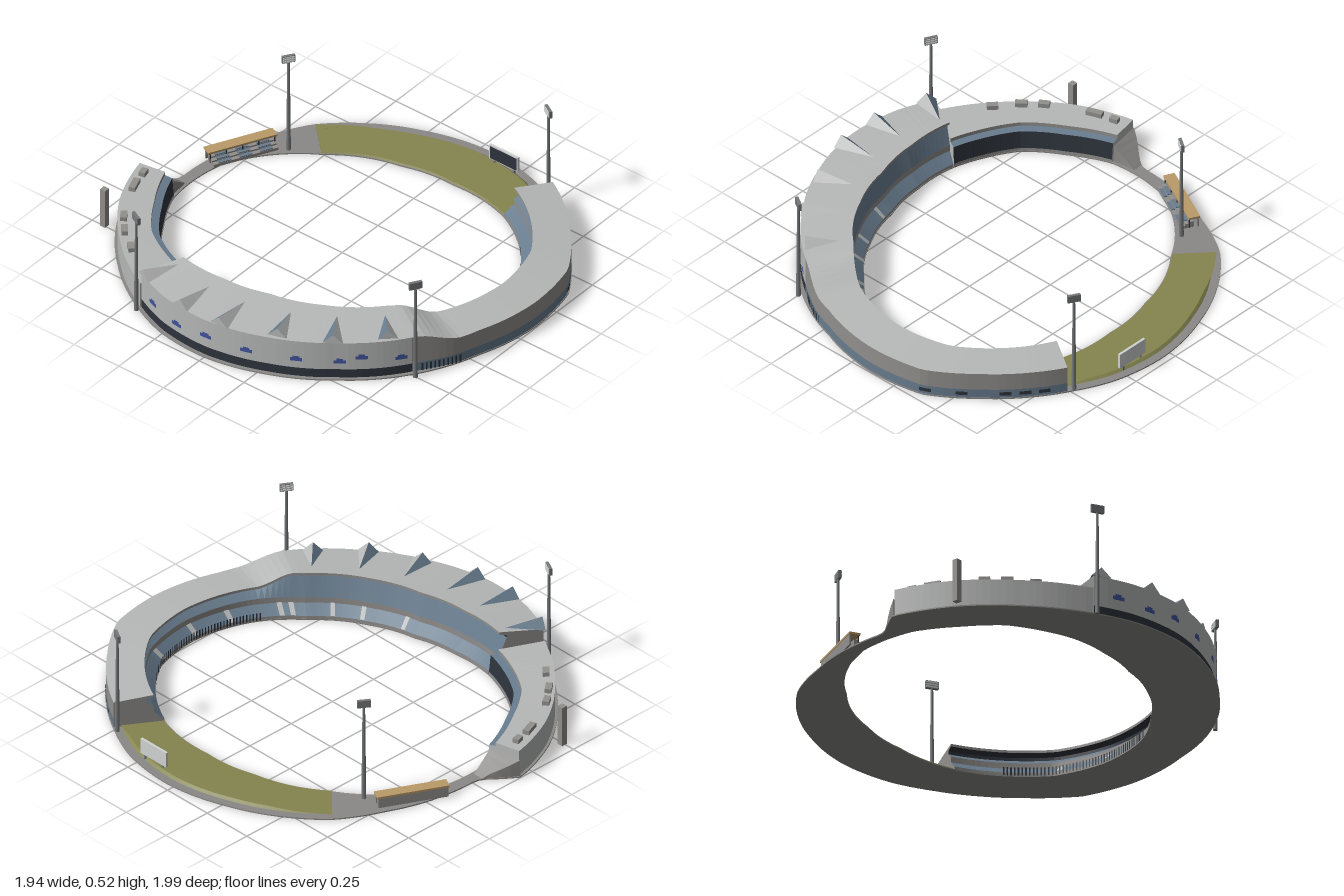
import * as THREE from 'three';

const mat = (name, color) => {
  const m = new THREE.MeshStandardMaterial({ color, side: THREE.DoubleSide });
  m.name = name;
  return m;
};
const M = {
  roof: mat('roof grey', 0xb6b8b7), wall: mat('wall grey', 0x92908d), base: mat('paving grey', 0x8b8987),
  seats: mat('slate blue', 0x687c8e), dark: mat('dark navy', 0x2e343d), grass: mat('grass', 0x858550),
  tan: mat('tan', 0xbb9b69), mural: mat('mural blue', 0x40539c), pole: mat('pole grey', 0x77797b),
  white: mat('pale panel', 0xd2d4d4),
};
const RAD = Math.PI / 180;

// Radius by angle (degrees, from +x towards +z) of a closed plan outline
function outline(pts) {
  const p = pts.map(([x, z]) => [(Math.atan2(z, x) / RAD + 360) % 360, Math.hypot(x, z)]).sort((a, b) => a[0] - b[0]);
  const n = p.length;
  p.unshift([p[n - 1][0] - 360, p[n - 1][1]]);
  p.push([p[1][0] + 360, p[1][1]]);
  return (deg) => {
    const a = ((deg % 360) + 360) % 360;
    let i = 1;
    while (i < p.length - 1 && p[i][0] < a) i++;
    const [a0, r0] = p[i - 1], [a1, r1] = p[i];
    return r0 + (r1 - r0) * (a - a0) / (a1 - a0);
  };
}
const outer = outline([[-0.18, -1], [-0.06, -0.905], [-0.02, -0.885], [0.14, -0.875], [0.43, -0.785], [0.64, -0.67],
  [0.8, -0.48], [0.905, -0.265], [0.97, 0.03], [0.93, 0.32], [0.85, 0.49], [0.745, 0.65], [0.59, 0.81], [0.385, 0.96],
  [0.11, 0.997], [-0.205, 0.93], [-0.5, 0.79], [-0.735, 0.56], [-0.895, 0.29], [-0.97, 0], [-0.947, -0.265],
  [-0.84, -0.505], [-0.68, -0.715], [-0.445, -0.905]]);
const inner = outline([[0, -0.83], [-0.15, -0.82], [-0.34, -0.725], [-0.5, -0.61], [-0.59, -0.45], [-0.635, -0.32],
  [-0.64, -0.105], [-0.6, 0.105], [-0.525, 0.32], [-0.365, 0.53], [-0.18, 0.685], [0.11, 0.76], [0.35, 0.715],
  [0.535, 0.555], [0.64, 0.39], [0.68, 0.08], [0.645, -0.185], [0.497, -0.505], [0.4, -0.635], [0.165, -0.805]]);

// Section point: d >= 0 is measured from the inner edge, d < 0 from the outer edge
const radius = (a, d) => (d >= 0 ? inner(a) + d : outer(a) + d);
const at = (a, r, y) => [r * Math.cos(a * RAD), y, r * Math.sin(a * RAD)];

function meshFrom(name, verts, material) {
  const g = new THREE.BufferGeometry();
  g.setAttribute('position', new THREE.Float32BufferAttribute(verts, 3));
  g.computeVertexNormals();
  const m = new THREE.Mesh(g, material);
  m.name = name;
  return m;
}

// Sweep section(a) = [[d, y], ...] round the oval; mats[i] colours the strip between points i and i + 1
function sweep(name, a0, a1, section, mats, capMat) {
  const group = new THREE.Group();
  group.name = name;
  const n = Math.max(1, Math.ceil((a1 - a0) / 2));
  const rows = [];
  for (let i = 0; i <= n; i++) {
    const a = a0 + (a1 - a0) * i / n;
    rows.push(section(a).map(([d, y]) => at(a, radius(a, d), y)));
  }
  mats.forEach(([part, material], j) => {
    const v = [];
    for (let i = 0; i < n; i++) {
      const A = rows[i][j], B = rows[i][j + 1], C = rows[i + 1][j + 1], D = rows[i + 1][j];
      v.push(...A, ...B, ...C, ...A, ...C, ...D);
    }
    group.add(meshFrom(part, v, material));
  });
  if (capMat) for (const a of [a0, a1]) {
    const flat = section(a).map(([d, y]) => new THREE.Vector2(radius(a, d), y));
    const v = THREE.ShapeUtils.triangulateShape(flat, []).flat().flatMap((k) => at(a, flat[k].x, flat[k].y));
    group.add(meshFrom('endWall', v, capMat));
  }
  return group;
}

function box(parent, name, w, h, d, x, y, z, material, ry = 0) {
  const m = new THREE.Mesh(new THREE.BoxGeometry(w, h, d), material);
  m.name = name;
  m.position.set(x, y, z);
  m.rotation.y = ry;
  parent.add(m);
  return m;
}

export function createModel() {
  const model = new THREE.Group();
  model.name = 'stadium';

  // Paved ring and grass bank
  const b = ['paving', M.base];
  model.add(sweep('baseRing', 0, 360, () => [[0, 0], [0, 0.006], [-0.0001, 0.006], [-0.0001, 0], [0, 0]], [b, b, b, b]));
  const g = ['turf', M.grass];
  model.add(sweep('grassBank', -46, 31, () => [[0.003, 0.006], [0.008, 0.013], [0.2, 0.017], [-0.05, 0.017], [-0.038, 0.006]],
    [g, g, g, g], M.grass));

  // Main stand: low along the front, rising to the tall west side
  const rise = (a) => THREE.MathUtils.smoothstep(a, 107, 121);
  const edge = (a) => -0.003 - 0.014 * rise(a);
  const mainSection = (a) => {
    const k = rise(a), top = 0.15 + 0.065 * k, eave = 0.135 + 0.058 * k, e = edge(a);
    return [[0.002, 0.006], [0.002, 0.02], [0.048, 0.06], [0.048, 0.088], [0.085, top - 0.035], [0.085, top - 0.02],
      [0.05, top - 0.012], [0.05, top], [e, eave], [e, 0.05], [e, 0.006]];
  };
  const inside = [['kerb', M.wall], ['lowerSeats', M.seats], ['balcony', M.wall], ['upperSeats', M.seats], ['backWall', M.dark],
    ['soffit', M.dark], ['fascia', M.wall], ['roof', M.roof]];
  model.add(sweep('frontStand', 31.5, 122, mainSection, [...inside, ['upperWall', M.wall], ['lowerGlazing', M.seats]], M.wall));
  model.add(sweep('westStand', 122, 207, mainSection, [...inside, ['upperWall', M.roof], ['lowerWall', M.dark]], M.wall));

  // Aisles across the seating
  for (const a of [164, 146, 134, 119, 115, 97, 83, 66]) {
    model.add(sweep('aisle', a - 0.9, a + 0.9, () => [[0.001, 0.023], [0.047, 0.063]], [['steps', M.roof]]));
  }

  // Pickets and dark openings on the lower front wall
  for (let a = 48; a < 120; a += 1.2) {
    model.add(sweep('picket', a, a + 0.5, () => [[edge(a) + 0.003, 0.006], [edge(a) + 0.003, 0.045]], [['slat', M.dark]]));
  }
  for (const a of [36, 41, 46, 57, 66]) {
    model.add(sweep('opening', a, a + 3, () => [[0.0005 - 0.0001 - 0.0004 - 0.0001, 0.02], [-0.0001, 0.038]], [['gap', M.dark]]));
  }

  // Painted patches on the west wall
  for (const [a, y] of [[125, 0.095], [136, 0.115], [142, 0.093], [154, 0.098], [168, 0.1], [180, 0.11], [190, 0.092], [200, 0.105]]) {
    [[1.7, 0.009, 0], [0.9, 0.013, 0.005]].forEach(([w, h, dy]) => model.add(sweep('muralPatch', a - w, a + w,
      (t) => [[edge(t) + 0.004 + dy / 10, y + dy - h], [edge(t) + 0.004 + dy / 10, y + dy + h]], [['paint', M.mural]])));
  }

  // Folded sails on the west roof: [inner x, z, outer x, z]
  for (const [ix, iz, ox, oz] of [[-0.72, -0.33, -0.88, -0.41], [-0.77, -0.13, -0.95, -0.15], [-0.755, 0.06, -0.945, 0.065],
    [-0.69, 0.265, -0.85, 0.315], [-0.585, 0.44, -0.735, 0.535], [-0.45, 0.6, -0.56, 0.705]]) {
    const len = Math.hypot(ox - ix, oz - iz), px = (oz - iz) / len * 0.047, pz = -(ox - ix) / len * 0.047;
    const tip = [ix, 0.209, iz], peak = [ox, 0.236, oz];
    const south = [ox + px, 0.192, oz + pz], north = [ox - px, 0.192, oz - pz];
    const sail = new THREE.Group();
    sail.name = 'roofSail';
    sail.add(meshFrom('sailBlueSide', [...tip, ...peak, ...north], M.seats));
    sail.add(meshFrom('sailGreySide', [...tip, ...south, ...peak], M.roof));
    sail.add(meshFrom('sailEnd', [...south, ...north, ...peak], M.roof));
    model.add(sail);
  }

  // North stand with rooftop units, end ramp and tower
  model.add(sweep('northStand', 207.2, 259.5, () => [[0.002, 0.006], [0.002, 0.02], [0.01, 0.105], [0.045, 0.11], [0.045, 0.128],
    [-0.012, 0.132], [-0.012, 0.006]], [['kerb', M.wall], ['darkFront', M.dark], ['seats', M.seats], ['fascia', M.wall],
    ['roof', M.roof], ['backWall', M.roof]], M.roof));
  for (const [x, z, w] of [[-0.69, -0.63, 0.05], [-0.61, -0.73, 0.055], [-0.535, -0.795, 0.05], [-0.33, -0.9, 0.075], [-0.235, -0.925, 0.04]]) {
    box(model, 'rooftopUnit', w, 0.024, 0.03, x, 0.14, z, M.wall, Math.atan2(x, z) + Math.PI);
  }
  const r = ['slope', M.base];
  model.add(sweep('endRamp', 259.6, 267, (a) => {
    const y = 0.007 + 0.08 * (267 - a) / 7.4;
    return [[0.012, 0.006], [0.015, y], [-0.006, y], [-0.004, 0.006]];
  }, [r, r, r], M.base));
  box(model, 'tower', 0.028, 0.2, 0.028, -0.495, 0.1, -0.935, M.wall);

  // Small pavilion with stepped seats
  const pavilion = new THREE.Group();
  pavilion.name = 'pavilion';
  pavilion.position.set(0.285, 0, -0.795);
  pavilion.rotation.y = -0.47;
  box(pavilion, 'canopy', 0.33, 0.01, 0.052, 0, 0.06, -0.005, M.tan);
  box(pavilion, 'backWall', 0.32, 0.05, 0.008, 0, 0.03, -0.024, M.wall);
  for (let i = 0; i < 3; i++) {
    box(pavilion, 'tier', 0.31, 0.03 - i * 0.008, 0.02, 0, 0.021 - i * 0.004, 0.005 + i * 0.02, M.wall);
    for (let j = -1; j <= 1; j++) box(pavilion, 'seatBlock', 0.06, 0.004, 0.017, j * 0.1, 0.038 - i * 0.008, 0.005 + i * 0.02, M.seats);
  }
  for (let j = -2; j <= 2; j++) box(pavilion, 'post', 0.005, 0.05, 0.005, j * 0.077, 0.03, 0.016, M.dark);
  model.add(pavilion);

  // Scoreboard on the grass bank
  const board = new THREE.Group();
  board.name = 'scoreboard';
  box(board, 'panel', 0.012, 0.075, 0.16, 0.908, 0.068, 0.18, M.white);
  box(board, 'screen', 0.004, 0.063, 0.146, 0.901, 0.068, 0.18, M.dark);
  for (const z of [0.125, 0.235]) box(board, 'leg', 0.008, 0.035, 0.008, 0.908, 0.018, z, M.pole);
  model.add(board);

  // Floodlights turned towards the field
  for (const [x, z] of [[-0.5, 0.81], [0.843, 0.48], [-0.885, -0.445], [0.43, -0.645]]) {
    const light = new THREE.Group();
    light.name = 'floodlight';
    light.position.set(x, 0, z);
    light.rotation.y = Math.atan2(-x, -z);
    const mast = new THREE.Mesh(new THREE.CylinderGeometry(0.006, 0.011, 0.49, 8), M.pole);
    mast.name = 'mast';
    mast.position.y = 0.245;
    light.add(mast);
    box(light, 'lampHead', 0.06, 0.036, 0.014, 0, 0.503, 0, M.pole);
    for (let i = 0; i < 3; i++) box(light, 'lampRow', 0.054, 0.008, 0.004, 0, 0.492 + i * 0.011, 0.008, M.white);
    model.add(light);
  }
  return model;
}
